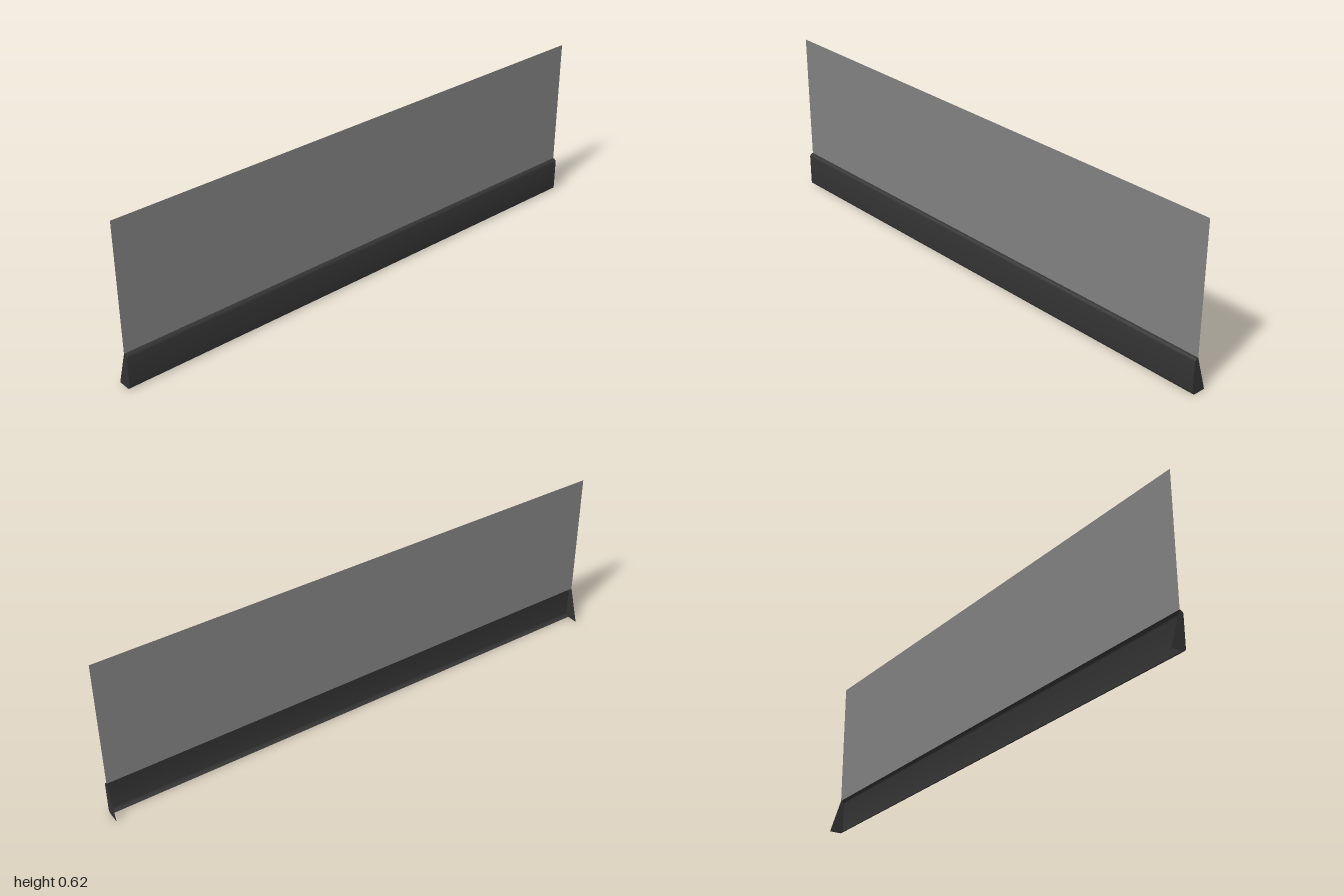
import * as THREE from 'three';
import { toCreasedNormals } from 'three/addons/utils/BufferGeometryUtils.js';

const LENGTH = 2, WALL_X = 0.028, LIP_X = 0.014, BASE_H = 0.135, TOP = 0.62;

// Section of the skirting, top lip to bottom lip, with rounded corners
function skirtingProfile(steps = 5) {
  const r = WALL_X - LIP_X, ry = 0.012, points = [];
  for (const [cy, start] of [[BASE_H - ry, Math.PI / 2], [ry, 0]]) {
    for (let i = 0; i <= steps; i++) {
      const a = start - (i / steps) * Math.PI / 2;
      points.push(new THREE.Vector2(LIP_X + r * Math.cos(a), cy + ry * Math.sin(a)));
    }
  }
  return points;
}

export function createModel() {
  const model = new THREE.Group();
  model.name = 'partition';
  const panelGrey = new THREE.MeshStandardMaterial({ color: 0x808080, side: THREE.DoubleSide });
  panelGrey.name = 'panel grey';
  const charcoal = new THREE.MeshStandardMaterial({ color: 0x333333, side: THREE.DoubleSide });
  charcoal.name = 'charcoal';
  const add = (name, geometry, material) => {
    const mesh = new THREE.Mesh(geometry, material);
    mesh.name = name;
    model.add(mesh);
    return mesh;
  };

  // Thin upright panel
  add('panel', new THREE.PlaneGeometry(LENGTH, TOP - BASE_H).rotateY(Math.PI / 2), panelGrey)
    .position.set(LIP_X, (TOP + BASE_H) / 2, 0);

  // Skirting: a sheet whose rows follow the profile, open towards -x
  const profile = skirtingProfile();
  const sheet = new THREE.PlaneGeometry(LENGTH, 1, 1, profile.length - 1).rotateY(Math.PI / 2);
  const pos = sheet.attributes.position;
  for (let i = 0; i < pos.count; i++) {
    const p = profile[Math.floor(i / 2)];
    pos.setXYZ(i, p.x, p.y, pos.getZ(i));
  }
  add('skirting', toCreasedNormals(sheet, 0.5), charcoal);

  // Tapered end plates
  const plate = new THREE.ShapeGeometry(new THREE.Shape([...profile, new THREE.Vector2(-0.029, 0)]));
  for (const [name, z] of [['frontEndPlate', 1], ['backEndPlate', -1]]) {
    add(name, plate, charcoal).position.z = z * LENGTH / 2;
  }
  return model;
}
